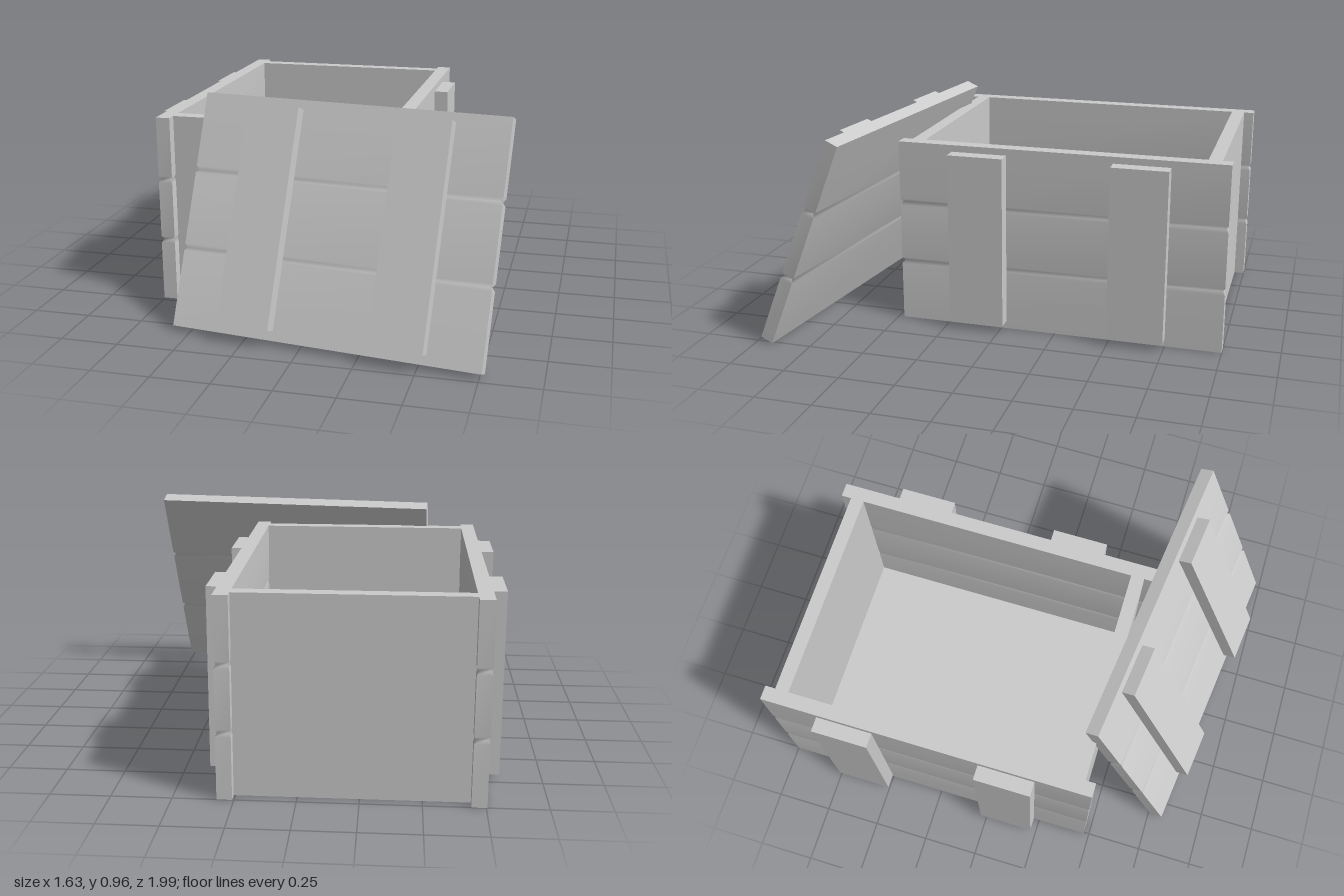
import * as THREE from 'three';

const material = new THREE.MeshStandardMaterial({ color: 0xcccccc });

function add(parent, name, geometry, x, y, z) {
  const mesh = new THREE.Mesh(geometry, material);
  mesh.name = name;
  mesh.position.set(x, y, z);
  parent.add(mesh);
  return mesh;
}

// Slab of three planks: a box whose rows are pinched in at two V grooves
function plankSlab(w, h, d) {
  const g = 0.015, depth = 0.011;
  const rows = [[0, 0]];
  for (const c of [h / 3, (2 * h) / 3]) rows.push([c - g, 0], [c, depth], [c + g, 0]);
  rows.push([h, 0]);
  const n = rows.length - 1;
  const geometry = new THREE.BoxGeometry(w, h, d, 1, n, 1);
  const p = geometry.attributes.position;
  for (let i = 0; i < p.count; i++) {
    const [y, inset] = rows[Math.round((p.getY(i) / h + 0.5) * n)];
    p.setXYZ(
      i,
      p.getX(i) - Math.sign(p.getX(i)) * inset,
      y - h / 2,
      p.getZ(i) - Math.sign(p.getZ(i)) * inset
    );
  }
  geometry.computeVertexNormals();
  return geometry;
}

export function createModel() {
  const model = new THREE.Group();
  model.name = 'openCrate';

  // Crate body, centred on its own x axis
  const crate = new THREE.Group();
  crate.name = 'crateBody';
  crate.position.x = -0.2175;
  model.add(crate);
  const H = 0.845;

  for (const [side, s] of [['left', 1], ['right', -1]]) {
    add(crate, side + 'PlankWall', plankSlab(0.063, H, 1.475), s * 0.506, H / 2, -0.2625);
    // Upright battens outside the wall
    for (const z of [-0.625, 0.1]) {
      add(crate, side + 'Batten', new THREE.BoxGeometry(0.065, 0.78, 0.25), s * 0.57, 0.425, z);
    }
  }

  // Plain end walls, set in from the ends of the plank walls
  for (const [name, z] of [['frontWall', 0.4], ['backWall', -0.925]]) {
    add(crate, name, new THREE.BoxGeometry(0.955, H, 0.06), 0, H / 2, z);
  }

  // Raised floor
  add(crate, 'floor', new THREE.BoxGeometry(0.96, 0.05, 1.27), 0, 0.065, -0.2625);

  // Lid leaning on the front of the crate; its origin is the middle of its outer face
  const lid = new THREE.Group();
  lid.name = 'lid';
  lid.rotation.set(-Math.PI / 8, THREE.MathUtils.degToRad(-7), 0, 'YXZ');
  lid.position.set(0.117, 0.492, 0.705);
  model.add(lid);
  add(lid, 'lidPlanks', plankSlab(1.345, 1.012, 0.06), 0, 0, -0.03);
  for (const x of [-0.33, 0.33]) {
    add(lid, 'lidBatten', new THREE.BoxGeometry(0.23, 0.93, 0.06), x, 0, 0.03);
  }

  return model;
}
